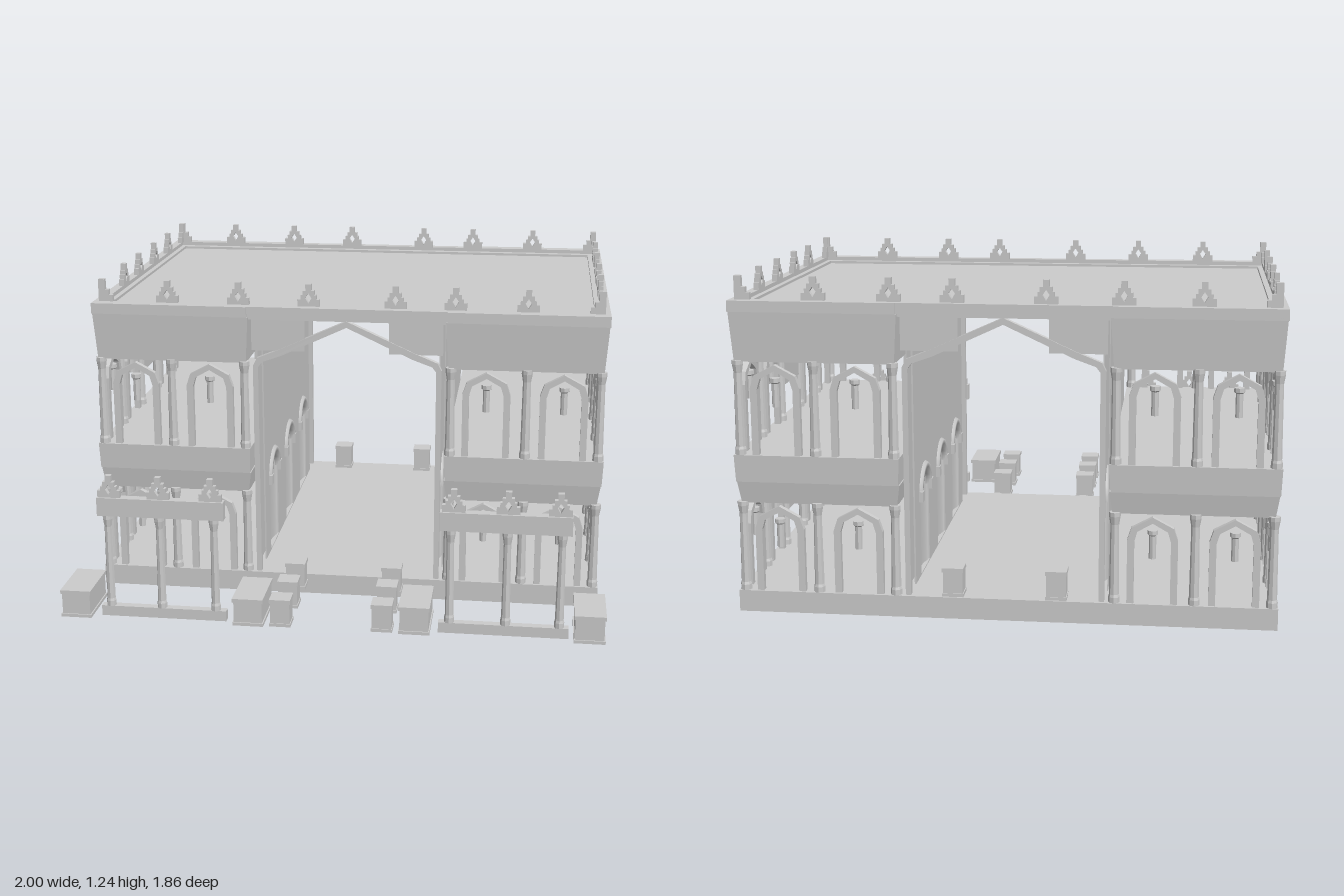
import * as THREE from 'three';

const mat = new THREE.MeshStandardMaterial({ color: 0xcccccc, flatShading: true, side: THREE.DoubleSide });
const smooth = new THREE.MeshStandardMaterial({ color: 0xcccccc, side: THREE.DoubleSide });
const MID = -0.2325; // centre of the building along z

export function createModel() {
  const root = new THREE.Group();
  const building = new THREE.Group();
  building.name = 'building';
  building.position.x = 0.008;
  const forecourt = new THREE.Group();
  forecourt.name = 'forecourt';
  root.add(building, forecourt);
  let target = building;

  const add = (name, geo, x = 0, y = 0, z = 0, ry = 0, m = mat) => {
    const mesh = new THREE.Mesh(geo, m);
    mesh.name = name;
    mesh.position.set(x, y, z);
    mesh.rotation.y = ry;
    target.add(mesh);
    return mesh;
  };
  // box given by its ranges
  const box = (name, x0, x1, y0, y1, z0, z1) =>
    add(name, new THREE.BoxGeometry(Math.abs(x1 - x0), y1 - y0, Math.abs(z1 - z0)), (x0 + x1) / 2, (y0 + y1) / 2, (z0 + z1) / 2);
  // slab whose lower edge is drawn in by d
  const slab = (name, x0, x1, y0, y1, z0, z1, d) => {
    const p = box(name, x0, x1, y0, y1, z0, z1).geometry.attributes.position;
    for (let i = 0; i < p.count; i++) {
      if (p.getY(i) > 0) continue;
      p.setX(i, p.getX(i) - Math.sign(p.getX(i)) * d);
      p.setZ(i, p.getZ(i) - Math.sign(p.getZ(i)) * d);
    }
  };
  const extrude = (shape, depth, curveSegments = 8) => {
    const g = new THREE.ExtrudeGeometry(shape, { depth, bevelEnabled: false, curveSegments });
    return g.translate(0, 0, -depth / 2);
  };
  const vecs = (pts) => pts.map(([x, y]) => new THREE.Vector2(x, y));
  const poly = (pts) => new THREE.Shape(vecs(pts));
  // mirrors a right half outline, bottom to top, to the left
  const mirrored = (half) => [...half, ...half.filter(([x]) => x > 0).reverse().map(([x, y]) => [-x, y])];

  // arch band between an outer and an inner half outline
  const archBand = (outer, inner, depth) =>
    extrude(poly([...mirrored(outer), ...mirrored(inner).reverse()]), depth);

  // column with base and capital
  const columnGeo = (h, r) => new THREE.LatheGeometry(vecs([
    [0, 0], [r * 1.15, 0], [r * 1.15, 0.02], [r, 0.03], [r * 0.85, h - 0.06],
    [r * 0.85, h - 0.045], [r * 1.15, h - 0.015], [r * 1.15, h], [0, h],
  ]), 8);

  // stepped finial with a diamond hole
  const finialShape = poly(mirrored([[0.042, 0], [0.042, 0.027], [0.03, 0.027], [0.03, 0.043], [0.022, 0.043], [0.022, 0.06], [0.011, 0.06], [0.011, 0.085]]));
  finialShape.holes.push(new THREE.Path(vecs([[0, 0.012], [-0.012, 0.032], [0, 0.05], [0.012, 0.032]])));
  const finialGeo = extrude(finialShape, 0.02);
  const halfFinialGeo = extrude(poly([[0, 0], [0.055, 0], [0.055, 0.025], [0.04, 0.025], [0.04, 0.045], [0.025, 0.045], [0.025, 0.085], [0, 0.085]]), 0.02);

  // ---- base and roof ----
  box('base', -0.977, 0.977, 0, 0.08, -0.93, 0.465);
  box('roofDeck', -0.96, 0.96, 1.1, 1.125, -0.915, 0.45);
  for (const s of [1, -1]) {
    box('parapetSide', s * 0.98, s * 0.945, 1.11, 1.15, -0.932, 0.467);
    for (const t of [1, -1]) box('parapetEnd', t * 0.38, t * 0.98, 1.11, 1.15, MID + s * 0.6995, MID + s * 0.65);
    box('parapetCentre', -0.38, 0.38, 1.11, 1.15, MID + s * 0.69, MID + s * 0.65);
    box('roofLedge', s * 0.945, s * 0.925, 1.12, 1.135, -0.89, 0.42);
    box('roofLedge', -0.94, 0.94, 1.12, 1.135, MID + s * 0.655, MID + s * 0.62);
  }

  // ---- roof finials ----
  for (const z of [-0.89, 0.415]) {
    for (const x of [-0.693, -0.418, -0.148, 0.182, 0.407, 0.677]) add('finial', finialGeo, x, 1.15, z);
    for (const s of [1, -1]) {
      add('cornerFinial', halfFinialGeo, s * 0.96, 1.15, z, s > 0 ? Math.PI : 0);
      add('cornerFinial', halfFinialGeo, s * 0.95, 1.15, z + Math.sign(z) * 0.01, z > 0 ? Math.PI / 2 : -Math.PI / 2);
    }
  }
  for (const s of [1, -1]) for (const z of [-0.62, -0.375, -0.125, 0.1]) add('finial', finialGeo, s * 0.95, 1.15, z, Math.PI / 2);

  // ---- arcades: two storeys around each wing ----
  const lampGeo = new THREE.LatheGeometry(vecs([[0, 0], [0.013, 0], [0.013, 0.085], [0.019, 0.09], [0.019, 0.105], [0, 0.105]]), 8);
  const storeys = [[0.08, 0.335], [0.59, 0.345]];
  for (const [y, h] of storeys) {
    const col = columnGeo(h, 0.018);
    const arch = archBand(
      [[0.09, 0], [0.09, h - 0.1], [0.075, h - 0.055], [0, h - 0.015]],
      [[0.065, 0], [0.065, h - 0.105], [0.054, h - 0.068], [0, h - 0.037]], 0.022);
    const bay = (x, z, ry) => {
      add('archFrame', arch, x, y, z, ry);
      add('lamp', lampGeo, x, y + h - 0.168, z, ry);
    };
    for (const s of [1, -1]) {
      for (const z of [0.445, -0.91]) {
        for (const x of [0.395, 0.68, 0.955]) add('column', col, s * x, y, z);
        for (const x of [0.53, 0.82]) bay(s * x, z, 0);
      }
      for (const z of [0.185, -0.1, -0.365, -0.64]) add('column', col, s * 0.955, y, z);
      for (const z of [0.31, 0.04, -0.5, -0.775]) bay(s * 0.955, z, Math.PI / 2);
      // panel hung in the middle bay
      box('hangingPanel', s * 0.945, s * 0.96, y + 0.14, y + 0.265, -0.34, -0.13);
    }
  }

  // ---- wings: floor bands and hall walls with shallow niches ----
  const DOORS = [0.14, -0.23, -0.6];
  const wallShape = poly([[-0.33, 0.08], [0.8, 0.08], [0.8, 1.11], [-0.33, 1.11]]);
  for (const z of DOORS) {
    const hole = new THREE.Path();
    hole.moveTo(-z - 0.09, 0.085);
    hole.lineTo(-z - 0.09, 0.39);
    hole.absarc(-z, 0.39, 0.09, Math.PI, 0, true);
    hole.lineTo(-z + 0.09, 0.085);
    wallShape.holes.push(hole);
  }
  const wallGeo = extrude(wallShape, 0.006, 12);
  const nicheGeo = new THREE.CylinderGeometry(0.09, 0.09, 0.31, 16, 1, true, 0, Math.PI).scale(0.2, 1, 1);
  const domeGeo = new THREE.SphereGeometry(0.09, 16, 8, Math.PI / 2, Math.PI, 0, Math.PI / 2).scale(0.2, 1, 1);
  const ringGeo = new THREE.TorusGeometry(0.095, 0.018, 6, 16, Math.PI);
  for (const s of [1, -1]) {
    slab('lowerBand', s * 0.375, s * 0.97, 0.41, 0.49, -0.925, 0.46, 0.012);
    slab('middleBand', s * 0.375, s * 0.977, 0.49, 0.59, -0.93, 0.465, 0.004);
    slab('upperBand', s * 0.375, s * 0.977, 0.93, 1.11, -0.93, 0.465, 0.012);
    add('hallWall', wallGeo, s * 0.346, 0, 0, Math.PI / 2);
    box('hallWallBack', s * 0.365, s * 0.368, 0.08, 1.11, -0.8, 0.33);
    for (const y of [1.03, 1.07]) box('hallCornice', s * 0.335, s * 0.346, y, y + 0.015, -0.8, 0.33);
    for (const z of DOORS) {
      const turn = s > 0 ? 0 : Math.PI;
      add('niche', nicheGeo, s * 0.346, 0.235, z, turn, smooth);
      add('nicheDome', domeGeo, s * 0.346, 0.39, z, turn, smooth);
      add('nicheArch', ringGeo, s * 0.347, 0.39, z, Math.PI / 2, smooth);
      for (const e of [1, -1]) box('nicheImpost', s * 0.328, s * 0.346, 0.37, 0.41, z + e * 0.08, z + e * 0.115);
    }
  }

  // ---- great arches at both ends of the hall ----
  const greatArch = archBand(
    [[0.36, 0.08], [0.36, 0.92], [0.345, 0.95], [0.26, 0.985], [0, 1.102]],
    [[0.34, 0.08], [0.34, 0.915], [0.325, 0.935], [0.25, 0.962], [0, 1.078]], 0.025);
  for (const z of [0.44, -0.905]) {
    add('greatArch', greatArch, 0, 0, z);
    for (const s of [1, -1]) box('spandrelPanel', s * 0.16, s * 0.365, 0.98, 1.11, z - 0.008, z + 0.008);
  }

  // ---- free-standing gates, planters and pedestals ----
  const plinth = (name, x, z, w, d, y, h) => {
    box(name, x - w / 2, x + w / 2, y, y + 0.012, z - d / 2, z + d / 2);
    box(name, x - w * 0.46, x + w * 0.46, y + 0.012, y + h - 0.015, z - d / 2 + w * 0.04, z + d / 2 - w * 0.04);
    box(name, x - w / 2, x + w / 2, y + h - 0.015, y + h, z - d / 2, z + d / 2);
  };
  for (const s of [1, -1]) {
    plinth('planter', s * 0.305, 0.825, 0.114, 0.21, 0.06, 0.105);
    for (const z of [0.535, 0.715, 0.885]) plinth('pedestal', s * 0.187, z, 0.078, 0.075, 0.06, 0.105);
    plinth('hallPedestal', s * 0.187, -0.885, 0.078, 0.075, 0.08, 0.107);
  }
  target = forecourt;
  const gateColumn = columnGeo(0.36, 0.016);
  for (const s of [1, -1]) {
    box('gateSill', s * 0.395, s * 0.87, 0.035, 0.075, 0.815, 0.845);
    box('gateBeam', s * 0.395, s * 0.87, 0.435, 0.505, 0.814, 0.85);
    for (const x of [0.435, 0.64, 0.835]) add('gateColumn', gateColumn, s * x, 0.075, 0.832);
    for (const x of [0.445, 0.64, 0.825]) add('gateFinial', finialGeo, s * x, 0.505, 0.832);
    plinth('planter', s * 0.943, 0.825, 0.114, 0.21, 0.06, 0.105);
  }
  return root;
}
